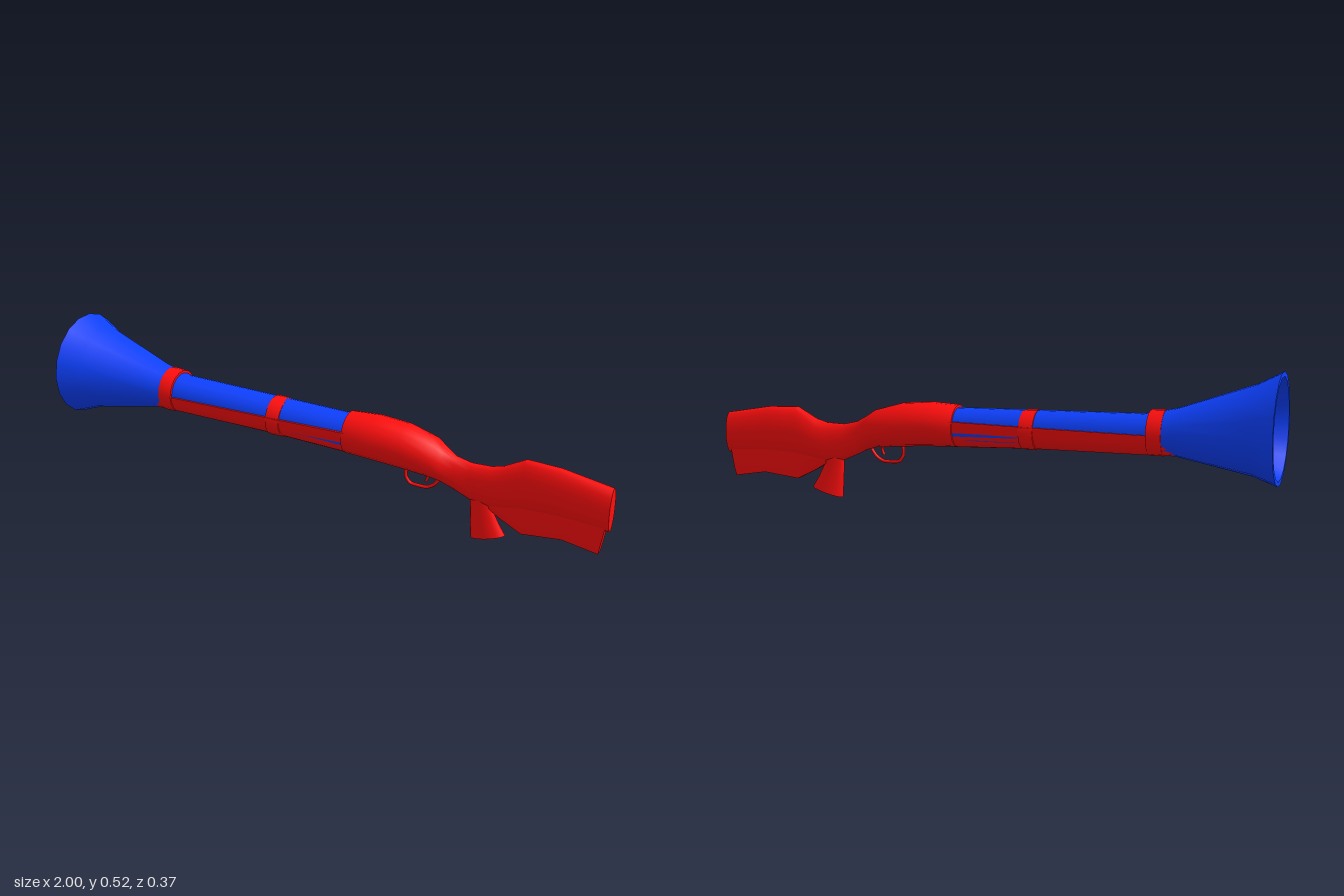
import * as THREE from 'three';
import { toCreasedNormals } from 'three/addons/utils/BufferGeometryUtils.js';

const SIDES = 18;

// Unit cross-sections as [z, y] pairs, counter-clockwise
const oval = Array.from({ length: SIDES }, (_, i) => {
  const t = (i / SIDES) * Math.PI * 2;
  return [Math.cos(t), Math.sin(t)];
});
const trough = Array.from({ length: 11 }, (_, i) => {
  const t = Math.PI * (1 + i / 10);
  return [Math.cos(t), 1 + 2 * Math.sin(t)];
});
const wedge = [[1, 1], [-1, 1], [-0.9, -0.5], [-0.6, -1], [0.6, -1], [0.9, -0.5]];

// Capped loft along x; each station is [x, bottom, top, halfWidth, slant]
function loft(stations, section) {
  const n = section.length;
  const pos = [];
  const index = [];
  for (const [x, lo, hi, w, slant = 0] of stations) {
    for (const [u, v] of section) {
      pos.push(x + slant * v, (lo + hi) / 2 + (v * (hi - lo)) / 2, u * w);
    }
  }
  const last = (stations.length - 1) * n;
  for (let i = 0; i < last; i += n) {
    for (let j = 0; j < n; j++) {
      const a = i + j;
      const b = i + ((j + 1) % n);
      index.push(a, a + n, b, b, a + n, b + n);
    }
  }
  for (let j = 1; j < n - 1; j++) {
    index.push(0, j, j + 1, last, last + j + 1, last + j);
  }
  const geo = new THREE.BufferGeometry();
  geo.setAttribute('position', new THREE.Float32BufferAttribute(pos, 3));
  geo.setIndex(index);
  return toCreasedNormals(geo, 0.85);
}

export function createModel() {
  const group = new THREE.Group();
  const red = new THREE.MeshStandardMaterial({ color: 0xff0d0d });
  const blue = new THREE.MeshStandardMaterial({ color: 0x0d40ff });

  const add = (name, geo, material) => {
    const mesh = new THREE.Mesh(geo, material);
    mesh.name = name;
    group.add(mesh);
    return mesh;
  };

  // Flared barrel: bore outwards to the mouth, over the rim, back along the outside
  add('barrel', loft([
    [-0.1, 0.25, 0.34, 0.045],
    [-0.57, 0.255, 0.355, 0.05],
    [-0.67, 0.25, 0.38, 0.065],
    [-0.92, 0.205, 0.47, 0.134],
    [-1, 0.178, 0.51, 0.169],
    [-1, 0.162, 0.527, 0.187],
    [-0.92, 0.19, 0.484, 0.149],
    [-0.67, 0.236, 0.394, 0.083],
    [-0.56, 0.239, 0.37, 0.067],
    [0.12, 0.225, 0.354, 0.066],
  ], oval), blue);

  // Half-round fore-end under the barrel
  add('foreEnd', loft([
    [-0.675, 0.236, 0.31, 0.079],
    [-0.55, 0.233, 0.309, 0.072],
    [-0.18, 0.228, 0.311, 0.071],
    [0.1, 0.216, 0.314, 0.07],
  ], trough), red);

  // Barrel bands
  for (const [name, x, lo, hi, w] of [
    ['frontBand', -0.608, 0.234, 0.386, 0.08],
    ['rearBand', -0.175, 0.226, 0.362, 0.073],
  ]) {
    add(name, loft([
      [x - 0.025, lo, hi + 0.002, w],
      [x + 0.025, lo, hi - 0.002, w - 0.001],
    ], oval), red);
  }

  // Receiver, wrist and shoulder stock in one sweep
  add('stock', loft([
    [0.09, 0.218, 0.364, 0.073],
    [0.19, 0.214, 0.369, 0.08],
    [0.3, 0.206, 0.36, 0.076],
    [0.4, 0.196, 0.331, 0.066],
    [0.435, 0.185, 0.308, 0.05],
    [0.475, 0.165, 0.285, 0.029],
    [0.53, 0.14, 0.272, 0.025],
    [0.6, 0.13, 0.274, 0.029],
    [0.64, 0.132, 0.285, 0.031],
    [0.715, 0.142, 0.325, 0.033],
    [0.83, 0.147, 0.32, 0.033],
    [1, 0.138, 0.29, 0.032],
  ], oval), red);

  // Thin lower blade of the stock
  add('stockBlade', loft([
    [0.6, 0.125, 0.17, 0.016],
    [0.64, 0.1, 0.18, 0.018],
    [0.715, 0.062, 0.19, 0.019],
    [0.85, 0.076, 0.19, 0.019],
    [0.982, 0.055, 0.18, 0.019, 0.01],
  ], wedge), red);

  // Flared pistol grip, lofted sideways and turned to point down
  add('grip', loft([
    [-0.19, 0.53, 0.6, 0.015],
    [-0.12, 0.532, 0.61, 0.016],
    [-0.065, 0.536, 0.634, 0.022, -0.008],
    [-0.02, 0.54, 0.658, 0.026, -0.016],
  ], oval).rotateZ(-Math.PI / 2), red);

  // Trigger guard and trigger
  const tube = (points, radius) => {
    const curve = new THREE.CatmullRomCurve3(
      points.map(([x, y]) => new THREE.Vector3(x, y, 0)), false, 'catmullrom', 0.3);
    return new THREE.TubeGeometry(curve, 20, radius, 8);
  };
  add('triggerGuard', tube([
    [0.3, 0.215], [0.299, 0.175], [0.318, 0.15], [0.375, 0.148],
    [0.405, 0.166], [0.425, 0.195],
  ], 0.006), red);
  add('trigger', tube([[0.372, 0.21], [0.38, 0.19], [0.373, 0.17]], 0.005), red);

  return group;
}
